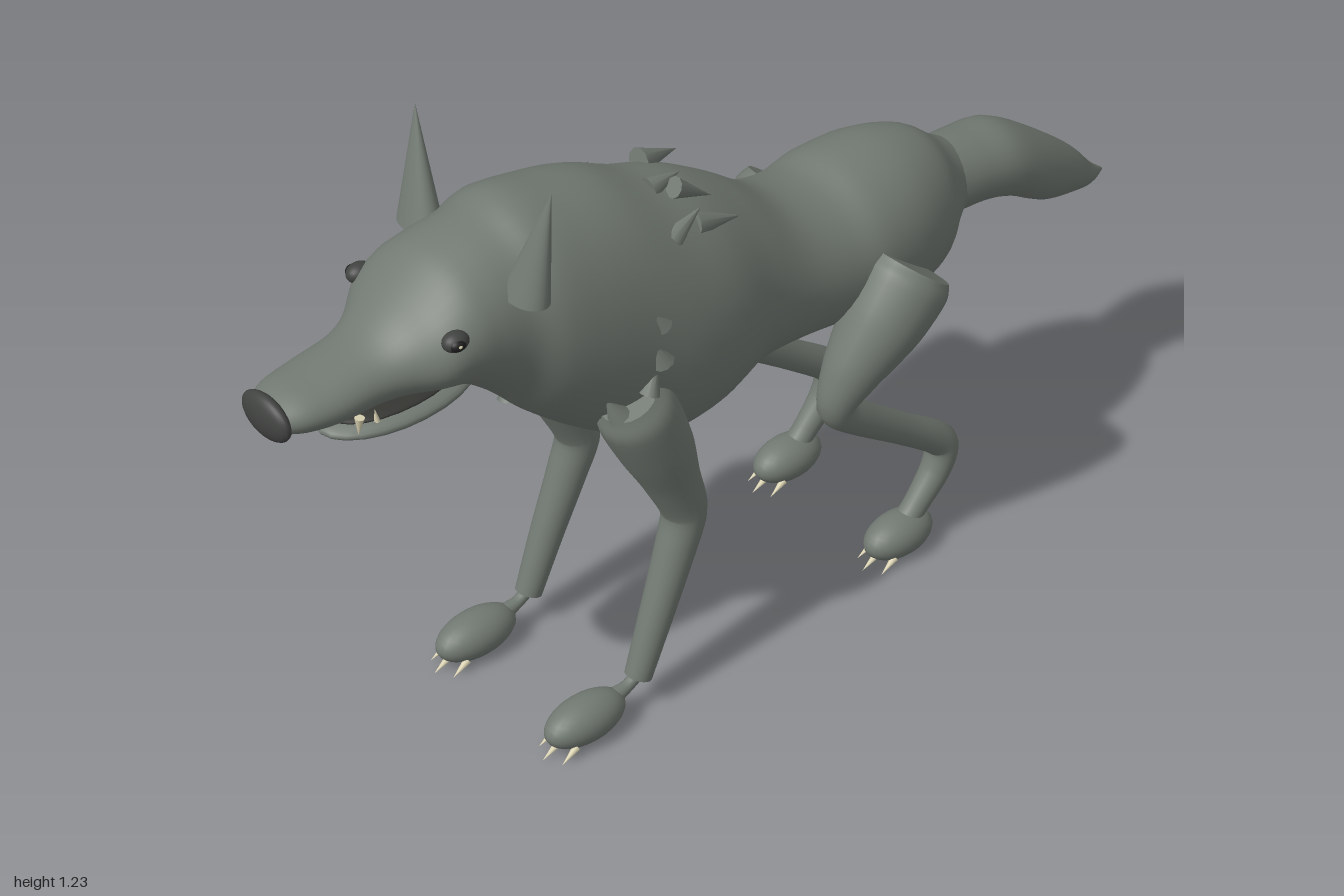
import * as THREE from 'three';

const mat = (name, color) => {
  const m = new THREE.MeshStandardMaterial({ color });
  m.name = name;
  return m;
};

// Closed skin over rings of points, with flat end caps
function skin(rings) {
  const n = rings[0].length, pos = [], idx = [];
  rings.forEach(r => r.forEach(p => pos.push(p.x, p.y, p.z)));
  for (let i = 0; i < rings.length - 1; i++)
    for (let j = 0; j < n; j++) {
      const k = (j + 1) % n, a = i * n + j, b = i * n + k;
      idx.push(a, b, b + n, a, b + n, a + n);
    }
  [rings[0], rings[rings.length - 1]].forEach((r, end) => {
    const s = pos.length / 3, c = new THREE.Vector3();
    r.forEach(p => { pos.push(p.x, p.y, p.z); c.addScaledVector(p, 1 / n); });
    pos.push(c.x, c.y, c.z);
    for (let j = 0; j < n; j++) {
      const k = (j + 1) % n;
      end ? idx.push(s + j, s + k, s + n) : idx.push(s + k, s + j, s + n);
    }
  });
  const g = new THREE.BufferGeometry();
  g.setAttribute('position', new THREE.Float32BufferAttribute(pos, 3));
  g.setIndex(idx);
  g.computeVertexNormals();
  return g;
}

// Stations [z, top, bottom, halfWidth] smoothed into upright oval rings
function trunk(stations, steps, sides) {
  const a = new THREE.CatmullRomCurve3(stations.map(s => new THREE.Vector3(s[0], s[1], s[2])), false, 'catmullrom', 0.5);
  const b = new THREE.CatmullRomCurve3(stations.map(s => new THREE.Vector3(s[3], 0, 0)), false, 'catmullrom', 0.5);
  const rings = [];
  for (let i = 0; i <= steps; i++) {
    const p = a.getPoint(i / steps), w = b.getPoint(i / steps).x, ring = [];
    for (let j = 0; j < sides; j++) {
      const t = j / sides * Math.PI * 2;
      ring.push(new THREE.Vector3(w * Math.cos(t), (p.y + p.z) / 2 + (p.y - p.z) / 2 * Math.sin(t), p.x));
    }
    rings.push(ring);
  }
  return skin(rings);
}

// Points [x, y, z, radius] smoothed into a round limb
function limb(points, steps = 32, sides = 20) {
  const path = new THREE.CatmullRomCurve3(points.map(p => new THREE.Vector3(p[0], p[1], p[2])), false, 'catmullrom', 0.4);
  const rad = new THREE.CatmullRomCurve3(points.map(p => new THREE.Vector3(p[3], 0, 0)), false, 'catmullrom', 0.4);
  const rings = [], X = new THREE.Vector3(1, 0, 0);
  for (let i = 0; i <= steps; i++) {
    const c = path.getPoint(i / steps), r = rad.getPoint(i / steps).x;
    const up = path.getTangent(i / steps).cross(X).normalize(), ring = [];
    for (let j = 0; j < sides; j++) {
      const t = j / sides * Math.PI * 2;
      ring.push(c.clone().addScaledVector(X, r * Math.cos(t)).addScaledVector(up, r * Math.sin(t)));
    }
    rings.push(ring);
  }
  return skin(rings);
}

export function createModel() {
  const root = new THREE.Group();
  root.name = 'wolf';
  const fur = mat('grey fur', 0x727972), dark = mat('dark nose', 0x414341), black = mat('black eye', 0x1e1f1e);
  const ivory = mat('ivory', 0xd8d0b0), mouth = mat('mouth lining', 0x353532);

  const add = (name, geo, m, parent = root) => {
    const mesh = new THREE.Mesh(geo, m);
    mesh.name = name;
    parent.add(mesh);
    return mesh;
  };
  const ball = (name, m, p, s, parent) => {
    const mesh = add(name, new THREE.SphereGeometry(1, 24, 16), m, parent);
    mesh.position.set(...p);
    mesh.scale.set(...s);
    return mesh;
  };
  const spike = (name, m, base, tip, r, parent) => {
    const a = new THREE.Vector3(...base), d = new THREE.Vector3(...tip).sub(a);
    const mesh = add(name, new THREE.ConeGeometry(r, d.length(), 10), m, parent);
    mesh.position.copy(a).addScaledVector(d, 0.5);
    mesh.quaternion.setFromUnitVectors(new THREE.Vector3(0, 1, 0), d.normalize());
    return mesh;
  };

  // Rump, barrel, neck and head in one smooth skin
  add('body', trunk([
    [-0.58, 0.76, 0.63, 0.06], [-0.53, 0.79, 0.58, 0.085], [-0.47, 0.835, 0.53, 0.125],
    [-0.38, 0.86, 0.52, 0.155], [-0.28, 0.86, 0.53, 0.165], [-0.2, 0.845, 0.545, 0.16],
    [-0.1, 0.87, 0.555, 0.157], [0, 0.94, 0.55, 0.165], [0.1, 1.0, 0.515, 0.19],
    [0.2, 1.04, 0.507, 0.2], [0.3, 1.09, 0.55, 0.195], [0.4, 1.115, 0.62, 0.19],
    [0.48, 1.127, 0.69, 0.18], [0.54, 1.11, 0.755, 0.16], [0.6, 1.097, 0.81, 0.155],
    [0.65, 1.08, 0.845, 0.152], [0.7, 1.045, 0.86, 0.14], [0.75, 1.005, 0.865, 0.102],
    [0.8, 0.982, 0.868, 0.084], [0.88, 0.968, 0.872, 0.08], [0.94, 0.96, 0.882, 0.07],
    [0.98, 0.948, 0.895, 0.052]], 110, 40), fur);

  // Bushy tail
  add('tail', trunk([
    [-1, 0.506, 0.5, 0.003], [-0.96, 0.54, 0.49, 0.022], [-0.9, 0.605, 0.5, 0.047],
    [-0.8, 0.686, 0.53, 0.074], [-0.7, 0.75, 0.588, 0.087], [-0.62, 0.765, 0.612, 0.082],
    [-0.54, 0.775, 0.615, 0.073], [-0.46, 0.78, 0.63, 0.06]], 40, 24), fur);

  // Open mouth
  ball('lowerJaw', fur, [0, 0.833, 0.72], [0.085, 0.026, 0.16]);
  ball('mouthLining', mouth, [0, 0.85, 0.725], [0.066, 0.012, 0.135]);
  ball('nose', dark, [0, 0.92, 0.98], [0.062, 0.041, 0.02]);

  for (const s of [1, -1]) {
    const side = s > 0 ? 'left' : 'right';
    const head = new THREE.Group();
    head.name = side + 'HeadParts';
    root.add(head);

    // Ear: oval cone whose tip leans outward and back
    const ear = new THREE.ConeGeometry(1, 1, 28, 8), p = ear.attributes.position;
    for (let i = 0; i < p.count; i++) {
      const h = p.getY(i) + 0.5;
      p.setXYZ(i, s * 0.14 + p.getX(i) * 0.05 + s * 0.037 * h, 1.026 + 0.21 * h, 0.548 + p.getZ(i) * 0.033 - 0.03 * h);
    }
    ear.computeVertexNormals();
    add('ear', ear, fur, head);

    // Eye, lid and glint
    ball('eyeLid', dark, [s * 0.128, 0.997, 0.688], [0.02, 0.018, 0.025], head);
    ball('eye', black, [s * 0.137, 0.997, 0.692], [0.014, 0.012, 0.016], head);
    ball('eyeGlint', ivory, [s * 0.149, 0.999, 0.694], [0.003, 0.003, 0.004], head);

    // Fangs
    spike('upperFang', ivory, [s * 0.06, 0.878, 0.84], [s * 0.058, 0.842, 0.843], 0.009, head);
    spike('lowerFang', ivory, [s * 0.052, 0.846, 0.8], [s * 0.052, 0.872, 0.803], 0.006, head);

    // Legs
    const leg = new THREE.Group();
    leg.name = side + 'Legs';
    root.add(leg);
    add('frontLeg', limb([
      [s * 0.15, 0.72, 0.345, 0.055], [s * 0.15, 0.68, 0.325, 0.073], [s * 0.148, 0.58, 0.28, 0.068],
      [s * 0.147, 0.49, 0.245, 0.053], [s * 0.147, 0.4, 0.215, 0.043], [s * 0.15, 0.32, 0.24, 0.038],
      [s * 0.154, 0.2, 0.288, 0.032], [s * 0.156, 0.08, 0.335, 0.026]]), fur, leg);
    add('frontAnkle', limb([[s * 0.156, 0.095, 0.325, 0.015], [s * 0.156, 0.07, 0.36, 0.012],
      [s * 0.156, 0.06, 0.41, 0.02]], 10, 12), fur, leg);
    add('hindLeg', limb([
      [s * 0.165, 0.69, -0.315, 0.08], [s * 0.168, 0.665, -0.295, 0.088], [s * 0.17, 0.6, -0.24, 0.079],
      [s * 0.165, 0.52, -0.175, 0.056], [s * 0.16, 0.45, -0.143, 0.036], [s * 0.157, 0.395, -0.2, 0.034],
      [s * 0.154, 0.3, -0.325, 0.031], [s * 0.153, 0.22, -0.425, 0.033], [s * 0.154, 0.16, -0.415, 0.03],
      [s * 0.155, 0.1, -0.365, 0.025], [s * 0.155, 0.07, -0.335, 0.025]], 50), fur, leg);
    for (const [name, z, len] of [['front', 0.462, 0.088], ['hind', -0.318, 0.08]]) {
      ball(name + 'Paw', fur, [s * 0.156, 0.053, z], [0.047, 0.044, len], leg);
      for (const k of [-1, 0, 1]) {
        const x = s * 0.156 + k * 0.03, f = z + len - Math.abs(k) * 0.018;
        spike(name + 'Claw', ivory, [x, 0.03, f - 0.025], [x + k * 0.003, 0.01, f + 0.012], 0.008, leg);
      }
    }
  }

  // Tufts of fur on the back and the left shoulder: [base, tip, radius]
  const tufts = [
    [[-0.165, 0.87, 0.14], [-0.172, 0.9, 0.05], 0.02], [[-0.063, 1.0, 0.13], [-0.067, 0.985, 0.04], 0.025],
    [[0.04, 1.025, 0.195], [0.045, 1.035, 0.13], 0.022], [[0.105, 0.965, 0.15], [0.122, 0.95, 0.06], 0.025],
    [[0.12, 0.97, 0.215], [0.122, 1.01, 0.15], 0.022], [[-0.12, 0.975, 0.26], [-0.138, 0.985, 0.18], 0.02],
    [[0.07, 1.03, 0.165], [0.08, 0.985, 0.09], 0.02],
    [[0.18, 0.86, 0.29], [0.178, 0.915, 0.325], 0.02], [[0.187, 0.79, 0.295], [0.185, 0.85, 0.32], 0.022],
    [[0.185, 0.735, 0.325], [0.182, 0.79, 0.3], 0.02], [[0.165, 0.7, 0.375], [0.16, 0.745, 0.4], 0.022],
    [[-0.095, 0.605, 0.41], [-0.105, 0.65, 0.4], 0.022]];
  tufts.forEach(([base, tip, r]) => spike('furTuft', fur, base, tip, r));

  return root;
}
